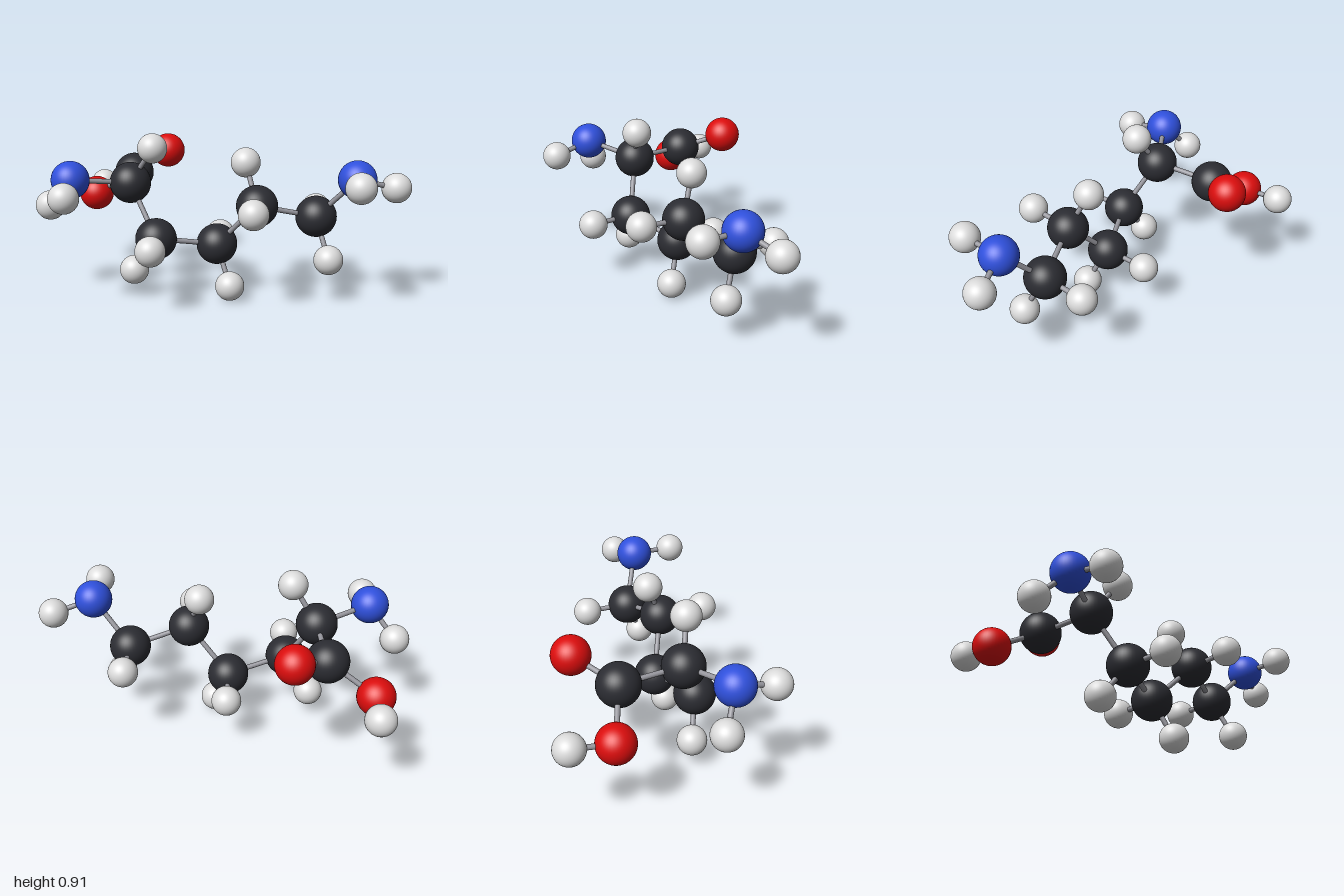
import * as THREE from 'three';

const mat = (name, color) => {
  const m = new THREE.MeshStandardMaterial({ color });
  m.name = name;
  return m;
};

export function createModel() {
  const model = new THREE.Group();
  model.name = 'molecule';

  const kinds = {
    C: { name: 'carbon', radius: 0.112, material: mat('charcoal', 0x2b2c32) },
    H: { name: 'hydrogen', radius: 0.08, material: mat('paleGrey', 0xdcdcdc) },
    N: { name: 'nitrogen', radius: 0.102, material: mat('blue', 0x2f50dc) },
    O: { name: 'oxygen', radius: 0.1, material: mat('red', 0xdc0d0d) },
  };
  const bondMaterial = mat('bondGrey', 0x95959c);
  for (const k of Object.values(kinds)) k.geometry = new THREE.SphereGeometry(k.radius, 40, 28);
  const rod = new THREE.CylinderGeometry(0.014, 0.014, 1, 16, 1, true);

  // Each atom: [key, kind, x, y, z, key of the atom it is bonded to]
  const atoms = [
    // acid end
    ['acid', 'C', -0.595, 0.62, -0.242],
    ['acidO', 'O', -0.453, 0.717, -0.455, 'acid'],
    ['hydroxylO', 'O', -0.853, 0.47, -0.285, 'acid'],
    ['hydroxylH', 'H', -0.885, 0.485, -0.5, 'hydroxylO'],
    // carbon chain with its hydrogens
    ['alpha', 'C', -0.502, 0.636, 0.088, 'acid'],
    ['alphaH', 'H', -0.362, 0.837, 0.122, 'alpha'],
    ['beta', 'C', -0.331, 0.354, 0.183, 'alpha'],
    ['betaH1', 'H', -0.286, 0.359, 0.423, 'beta'],
    ['betaH2', 'H', -0.472, 0.157, 0.147, 'beta'],
    ['gamma', 'C', -0.034, 0.298, 0.016, 'beta'],
    ['gammaH1', 'H', -0.073, 0.286, -0.225, 'gamma'],
    ['gammaH2', 'H', 0.056, 0.083, 0.09, 'gamma'],
    ['delta', 'C', 0.202, 0.543, 0.08, 'gamma'],
    ['deltaH1', 'H', 0.233, 0.561, 0.326, 'delta'],
    ['deltaH2', 'H', 0.122, 0.76, 0, 'delta'],
    ['epsilon', 'C', 0.499, 0.466, -0.07, 'delta'],
    ['epsilonH1', 'H', 0.468, 0.452, -0.311, 'epsilon'],
    ['epsilonH2', 'H', 0.582, 0.248, 0.012, 'epsilon'],
    // two amine groups
    ['amine', 'N', -0.769, 0.678, 0.282, 'alpha'],
    ['amineH1', 'H', -0.921, 0.516, 0.215, 'amine'],
    ['amineH2', 'H', -0.716, 0.632, 0.497, 'amine'],
    ['endAmine', 'N', 0.719, 0.696, 0.002, 'epsilon'],
    ['endAmineH1', 'H', 0.918, 0.64, -0.098, 'endAmine'],
    ['endAmineH2', 'H', 0.755, 0.703, 0.225, 'endAmine'],
  ];

  const up = new THREE.Vector3(0, 1, 0);
  const places = {};
  for (const [key, kind, x, y, z, partner] of atoms) {
    const k = kinds[kind];
    const atom = new THREE.Mesh(k.geometry, k.material);
    atom.name = `${k.name} ${key}`;
    atom.position.set(x, y, z);
    places[key] = atom.position;
    model.add(atom);
    if (!partner) continue;

    // rod from this atom's centre to its partner's
    const along = places[partner].clone().sub(atom.position);
    const bond = new THREE.Mesh(rod, bondMaterial);
    bond.name = `bond ${partner} to ${key}`;
    bond.position.copy(atom.position).addScaledVector(along, 0.5);
    bond.scale.y = along.length();
    bond.quaternion.setFromUnitVectors(up, along.normalize());
    model.add(bond);
  }
  return model;
}
